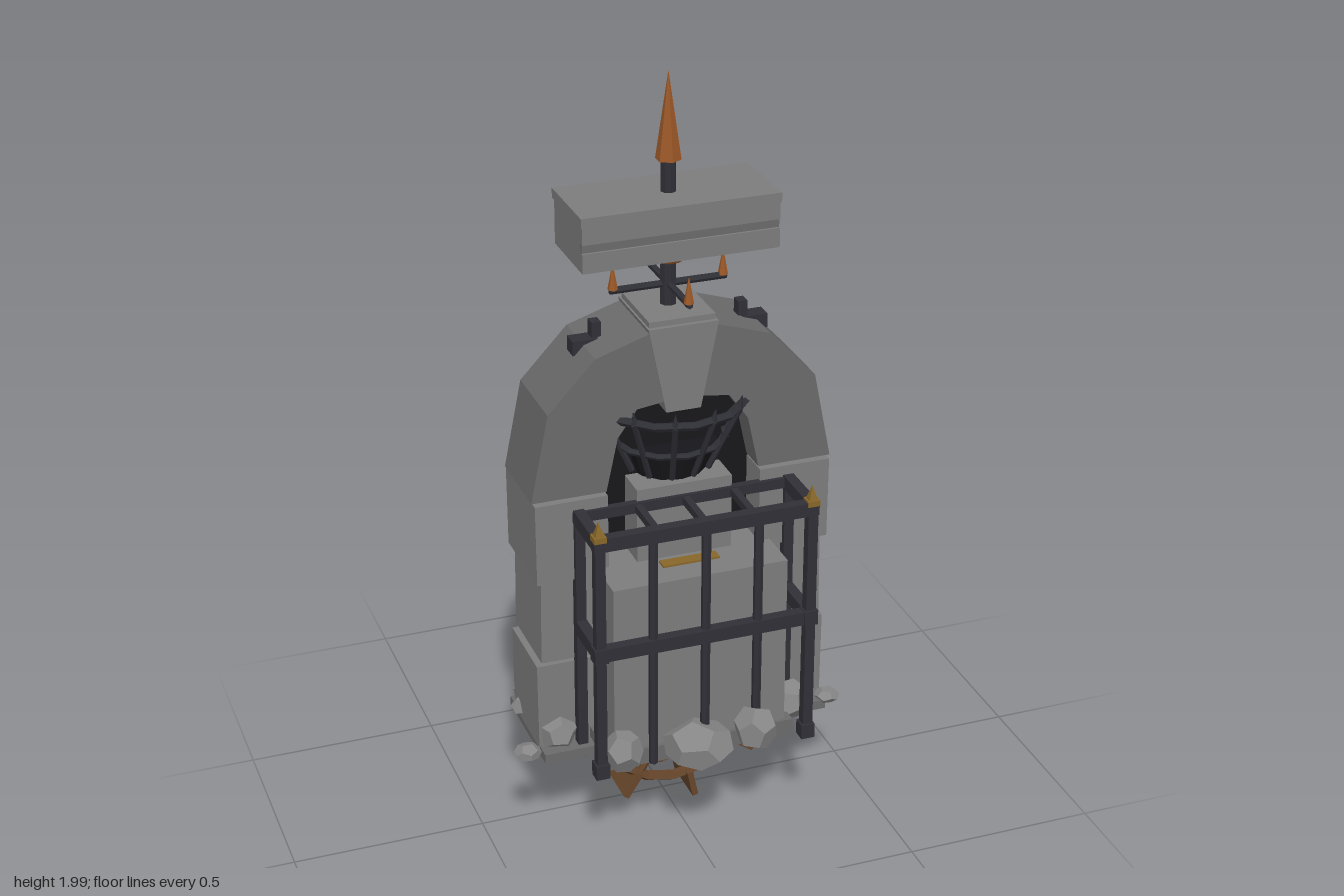
import * as THREE from 'three';

const mat = (color) => new THREE.MeshStandardMaterial({ color, flatShading: true });
const CX = 0.015;

export function createModel() {
  const root = new THREE.Group();
  root.name = 'stoneShrine';
  const stone = mat(0x7c7c7c), archStone = mat(0x6a6a6a), rubble = mat(0x868686);
  const iron = mat(0x2f2f36), soot = mat(0x17171b);
  const copper = mat(0x9c5828), brass = mat(0x876628), wood = mat(0x66452a);

  function add(name, geo, m, x = 0, y = 0, z = 0, parent = root) {
    const mesh = new THREE.Mesh(geo, m);
    mesh.name = name;
    mesh.position.set(x, y, z);
    parent.add(mesh);
    return mesh;
  }
  // box given by its limits on each axis
  const box = (name, m, x0, x1, y0, y1, z0, z1, parent) =>
    add(name, new THREE.BoxGeometry(x1 - x0, y1 - y0, z1 - z0), m,
      (x0 + x1) / 2, (y0 + y1) / 2, (z0 + z1) / 2, parent);
  // straight round bar between two points
  function bar(name, m, a, b, r0, r1 = r0, sides = 6, parent = root) {
    const A = new THREE.Vector3(...a), B = new THREE.Vector3(...b);
    const d = B.clone().sub(A);
    const mesh = add(name, new THREE.CylinderGeometry(r1, r0, d.length(), sides), m, 0, 0, 0, parent);
    mesh.position.copy(A).add(B).multiplyScalar(0.5);
    mesh.quaternion.setFromUnitVectors(new THREE.Vector3(0, 1, 0), d.normalize());
    return mesh;
  }
  const group = (name) => {
    const g = new THREE.Group();
    g.name = name;
    root.add(g);
    return g;
  };

  // base and stepped core
  box('basePlate', archStone, -0.37, 0.4, 0.255, 0.28, -0.15, 0.15);
  box('baseStep', archStone, -0.235, 0.265, 0.265, 0.31, -0.26, 0.25);
  box('coreBlock', stone, -0.215, 0.245, 0.28, 0.775, -0.24, 0.24);
  box('altarBlock', stone, -0.11, 0.14, 0.775, 0.975, -0.12, 0.12);
  box('darkRecess', soot, -0.19, 0.22, 0.775, 1.19, -0.03, 0.03);
  box('brassInlay', brass, -0.06, 0.09, 0.77, 0.78, 0.14, 0.172);
  for (const s of [-1, 1]) add('brassStud', new THREE.OctahedronGeometry(0.013), brass, CX + s * 0.155, 0.81, 0.04);

  // pillars of three uneven blocks
  const pillars = group('pillars');
  const blocks = [[0.275, 0.515, 0.387, 0.105], [0.525, 0.75, 0.375, 0.108], [0.757, 0.975, 0.387, 0.12]];
  for (const s of [-1, 1]) for (const [y0, y1, w, d] of blocks) {
    const xs = [CX + s * 0.2, CX + s * w].sort((a, b) => a - b);
    const b = box('pillarBlock', stone, xs[0], xs[1], y0, y1, -d, d, pillars);
    b.rotation.z = s * (y0 > 0.5 && y0 < 0.7 ? 0.012 : -0.006);
  }

  // arch of wedge stones, mirrored about the keystone
  const arch = group('arch');
  const outer = [[0.393, 0.98], [0.347, 1.21], [0.225, 1.34], [0.085, 1.385]];
  const inner = [[0.2, 0.98], [0.17, 1.12], [0.12, 1.19], [0.045, 1.2]];
  function wedge(name, m, pts, depth) {
    const shape = new THREE.Shape(pts.map((p) => new THREE.Vector2(...p)));
    add(name, new THREE.ExtrudeGeometry(shape, { depth, bevelEnabled: false }), m, CX, 0, -depth / 2, arch);
  }
  for (const s of [-1, 1]) for (let i = 0; i < 3; i++) {
    wedge('archStone', archStone, [outer[i], outer[i + 1], inner[i + 1], inner[i]].map(([x, y]) => [s * x, y]), 0.218);
  }
  wedge('keystone', stone, [[-0.045, 1.17], [0.045, 1.17], [0.09, 1.395], [-0.09, 1.395]], 0.222);
  box('keystoneCap', stone, -0.07, 0.1, 1.39, 1.41, -0.1, 0.1);

  // iron clamps on the shoulders of the arch
  for (const s of [-1, 1]) {
    const c = group('archClamp');
    c.position.x = CX + s * 0.21;
    box('clampBar', iron, -0.043, 0.043, 1.315, 1.352, -0.022, 0.022, c);
    box('clampPeg', iron, -s * 0.02 - 0.012, -s * 0.02 + 0.012, 1.29, 1.392, -0.015, 0.015, c);
    add('clampRivet', new THREE.SphereGeometry(0.008, 6, 4), copper, -s * 0.02, 1.333, 0.022, c);
  }

  // cages at front and back
  for (const s of [-1, 1]) {
    const cage = group(s > 0 ? 'frontCage' : 'backCage');
    const zo = s > 0 ? 0.272 : -0.285, zi = s > 0 ? 0.12 : -0.132;
    const za = Math.min(zo, zi), zb = Math.max(zo, zi);
    for (const x of [-0.262, 0.292]) {
      for (const z of [zo, zi]) box('cagePost', iron, x - 0.013, x + 0.013, 0.27, 0.94, z - 0.013, z + 0.013, cage);
      for (const y of [0.29, 0.625]) {
        box('postKnuckle', iron, x - 0.018, x + 0.018, y - 0.02, y + 0.02, zo - 0.018, zo + 0.018, cage);
      }
      box('finialBase', brass, x - 0.016, x + 0.016, 0.94, 0.955, zo - 0.016, zo + 0.016, cage);
      const f = add('finial', new THREE.ConeGeometry(0.017, 0.04, 4), brass, x, 0.973, zo, cage);
      f.rotation.y = Math.PI / 4;
      for (const y of [0.625, 0.932]) box('sideRail', iron, x - 0.014, x + 0.014, y - 0.018, y + 0.018, za, zb, cage);
    }
    for (const y of [0.625, 0.932]) {
      box('longRail', iron, -0.277, 0.307, y - 0.018, y + 0.018, zo - 0.014, zo + 0.014, cage);
    }
    box('innerRail', iron, -0.277, 0.307, 0.918, 0.945, zi - 0.01, zi + 0.01, cage);
    for (const x of [-0.123, CX, 0.153]) {
      bar('cageBar', iron, [x, 0.28, zo], [x, 0.93, zo], 0.012, 0.012, 6, cage);
    }
    for (const x of [-0.11, CX, 0.142]) {
      box('topBar', iron, x - 0.009, x + 0.009, 0.922, 0.942, za, zb, cage);
    }
  }

  // fire basket
  const basket = group('fireBasket');
  for (const [r, y, t] of [[0.195, 1.165, 0.012], [0.145, 1.06, 0.009]]) {
    const ring = add('basketRing', new THREE.TorusGeometry(r, t, 5, 12), iron, CX, y, 0, basket);
    ring.rotation.x = Math.PI / 2;
  }
  add('basketBowl', new THREE.CylinderGeometry(0.125, 0.1, 0.07, 12), soot, CX, 1.01, 0, basket);
  for (let i = 0; i < 12; i++) {
    const a = (i + 0.5) * Math.PI / 6, c = Math.cos(a), s = Math.sin(a);
    bar('basketRib', iron, [CX + 0.11 * c, 0.985, 0.11 * s], [CX + 0.195 * c, 1.165, 0.195 * s], 0.008, 0.008, 5, basket);
    bar('basketSpike', iron, [CX + 0.19 * c, 1.16, 0.19 * s], [CX + 0.2 * c, 1.2, 0.2 * s], 0.011, 0.001, 5, basket);
  }

  // mast, spiked cross and spear tip
  bar('mast', iron, [CX, 1.4, 0], [CX, 1.79, 0], 0.021, 0.019, 8);
  const collar = add('mastCollar', new THREE.TorusGeometry(0.037, 0.009, 5, 10), copper, CX, 1.535, 0);
  collar.rotation.x = Math.PI / 2;
  for (let i = 0; i < 4; i++) {
    const c = [1, 0, -1, 0][i] * 0.142, s = [0, 1, 0, -1][i] * 0.142;
    bar('crossArm', iron, [CX, 1.462, 0], [CX + c * 1.06, 1.462, s * 1.06], 0.009);
    bar('crossSpike', copper, [CX + c, 1.465, s], [CX + c, 1.53, s], 0.013, 0.001);
  }
  add('spearTip', new THREE.ConeGeometry(0.032, 0.22, 6), copper, CX, 1.89, 0);

  // capped slab with a groove along its front and a dark underside
  box('slabBody', stone, -0.237, 0.262, 1.56, 1.675, -0.105, 0.095);
  box('slabCap', stone, -0.24, 0.265, 1.675, 1.7, -0.113, 0.106);
  box('slabGroove', archStone, -0.237, 0.262, 1.61, 1.632, 0.09, 0.098);
  box('slabUpperBand', stone, -0.237, 0.262, 1.632, 1.675, 0.09, 0.104);
  box('slabLowerBand', stone, -0.237, 0.262, 1.56, 1.61, 0.09, 0.104);
  box('slabUnderside', soot, -0.215, 0.24, 1.557, 1.57, -0.08, 0.08);

  // paddle wheel under the base
  const wheel = group('paddleWheel');
  wheel.position.set(CX, 0.26, 0);
  for (const z of [-0.045, 0.045]) {
    add('wheelRim', new THREE.TorusGeometry(0.193, 0.014, 5, 16), wood, 0, 0, z, wheel);
    for (let i = 0; i < 6; i++) {
      const a = i * Math.PI / 3;
      bar('wheelSpoke', wood, [0, 0, z], [0.19 * Math.cos(a), 0.19 * Math.sin(a), z], 0.01, 0.01, 5, wheel);
    }
  }
  bar('wheelAxle', wood, [0, 0, -0.07], [0, 0, 0.07], 0.025, 0.025, 8, wheel);
  for (let i = 0; i < 8; i++) {
    const a = THREE.MathUtils.degToRad(-33 - 45 * i);
    const p = add('wheelPaddle', new THREE.BoxGeometry(0.075, 0.016, 0.14), wood,
      0.221 * Math.cos(a), 0.221 * Math.sin(a), 0, wheel);
    p.rotation.z = a;
  }

  // loose rocks around the foot: x, z, radius, height
  const rocks = group('rocks');
  [[-0.41, 0.13, 0.034, 0.04], [0.41, 0.135, 0.032, 0.035], [-0.01, 0.29, 0.088, 0.11], [0.15, 0.28, 0.055, 0.12],
    [-0.2, 0.26, 0.05, 0.11], [0.29, 0.17, 0.055, 0.1], [-0.32, 0.1, 0.05, 0.09], [-0.025, -0.315, 0.062, 0.09],
    [0.145, -0.295, 0.088, 0.11], [-0.18, -0.26, 0.06, 0.1], [0.3, -0.19, 0.065, 0.1], [0.34, -0.11, 0.055, 0.09],
    [-0.31, -0.11, 0.06, 0.09], [-0.35, -0.07, 0.04, 0.06]].forEach(([x, z, r, h], i) => {
    const geo = new THREE.DodecahedronGeometry(r, 0);
    geo.rotateX(i * 0.7);
    geo.rotateY(i * 1.9);
    geo.scale(1.05, h / (1.9 * r), 1.05);
    add('rock', geo, rubble, x, 0.268 + h / 2, z, rocks);
  });

  return root;
}
